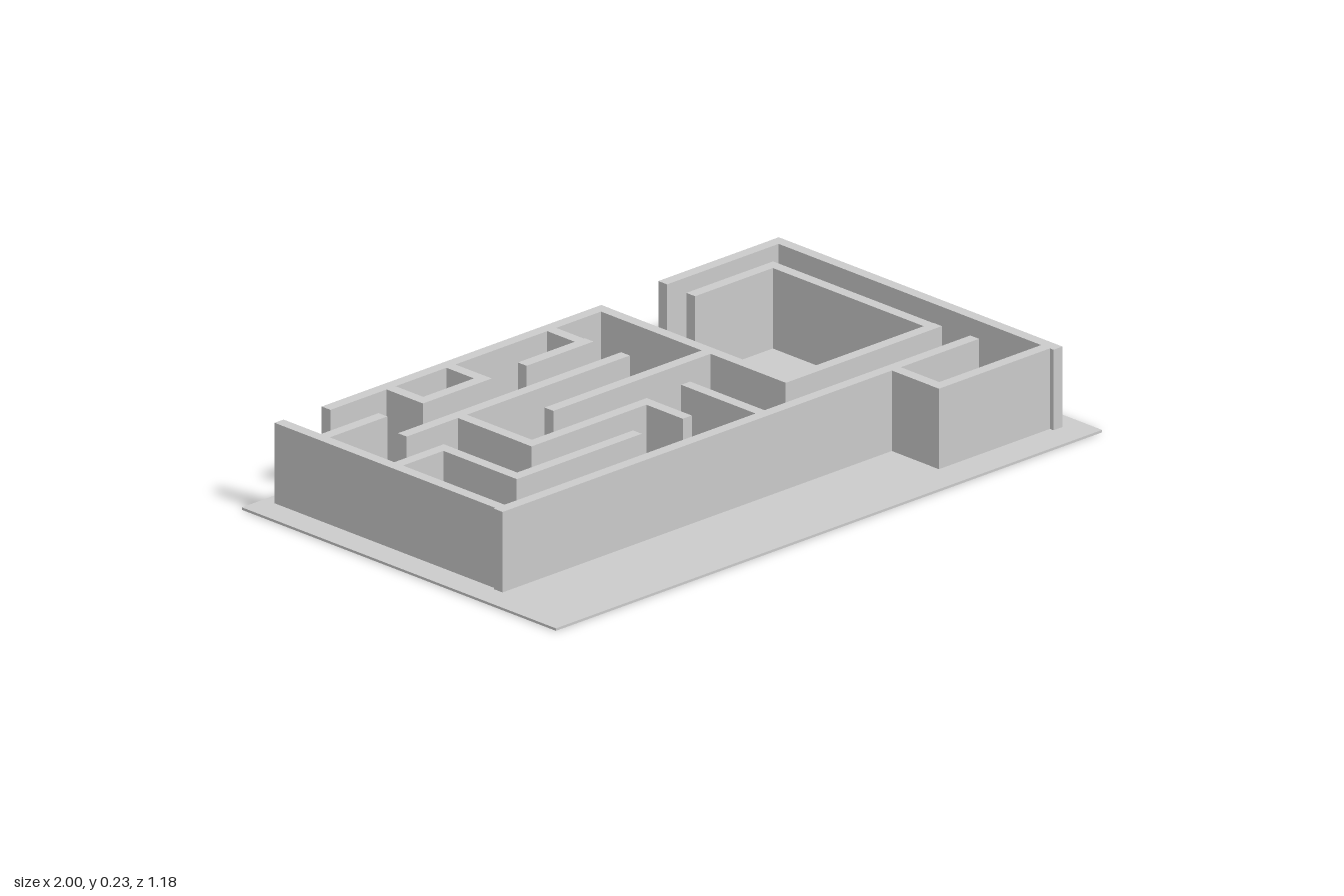
import * as THREE from 'three';

const BASE = 0.007, TOP = 0.235;
const T = 0.033; // wall thickness

// Walls running along x: [start x, end x, centre z]
const ACROSS = [
  [-0.925, 0.82, 0.297],
  [-0.89, -0.675, -0.395],
  [-0.89, -0.704, -0.119],
  [-0.737, -0.28, 0.158],
  [-0.75, 0.274, -0.532],
  [-0.544, -0.292, -0.395],
  [-0.165, 0.08, -0.395],
  [-0.737, 0.08, -0.258],
  [-0.55, -0.096, 0.02],
  [-0.335, 0.25, -0.119],
  [0.241, 0.812, 0.165],
  [0.493, 0.81, -0.437],
  [0.498, 0.92, -0.548],
  [0.5, 0.92, 0.475],
];

// Walls running along z: [start z, end z, centre x]
const ALONG = [
  [-0.553, 0.29, -0.902],
  [-0.135, 0.174, -0.721],
  [-0.53, -0.379, -0.528],
  [-0.53, -0.379, -0.309],
  [-0.53, -0.4, 0.06],
  [-0.25, 0.036, -0.533],
  [0.004, 0.174, -0.113],
  [-0.548, 0.181, 0.257],
  [-0.453, 0.181, 0.794],
  [-0.565, 0.505, 0.923],
  [0.3, 0.491, 0.517],
  [0, 0.29, 0.05],
];

export function createModel() {
  const model = new THREE.Group();
  model.name = 'maze';
  const material = new THREE.MeshStandardMaterial({ color: 0xcccccc });

  const addBox = (parent, name, x0, x1, y0, y1, z0, z1) => {
    const mesh = new THREE.Mesh(new THREE.BoxGeometry(x1 - x0, y1 - y0, z1 - z0), material);
    mesh.position.set((x0 + x1) / 2, (y0 + y1) / 2, (z0 + z1) / 2);
    mesh.name = name;
    parent.add(mesh);
  };

  // Thin ground plate
  addBox(model, 'basePlate', -1, 1, 0, BASE, -0.592, 0.592);

  // Maze walls
  const walls = new THREE.Group();
  walls.name = 'walls';
  model.add(walls);
  ACROSS.forEach(([x0, x1, z], i) =>
    addBox(walls, `crossWall${i + 1}`, x0, x1, BASE, TOP, z - T / 2, z + T / 2));
  ALONG.forEach(([z0, z1, x], i) =>
    addBox(walls, `lengthWall${i + 1}`, x - T / 2, x + T / 2, BASE, TOP, z0, z1));

  return model;
}
